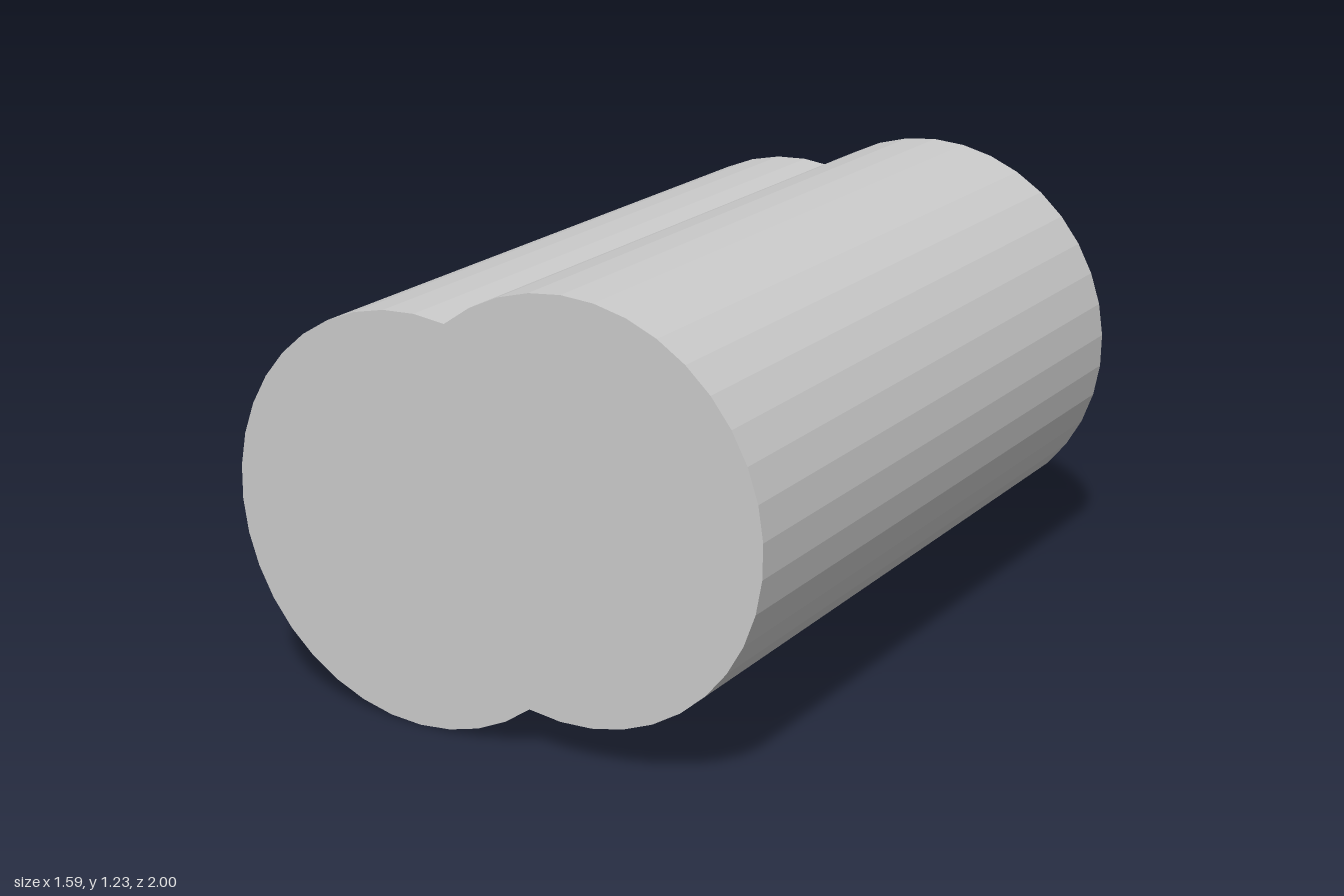
import * as THREE from 'three';

export function createModel() {
  const group = new THREE.Group();
  const radius = 0.559, steps = 24, length = 2, midHeight = 0.616;
  const lobeX = 0.235, lobeY = 0.056; // lobe centre, measured from the middle

  // Outer arc of one lobe, running between the two creases
  const axis = Math.atan2(lobeY, lobeX);
  const half = Math.acos(-Math.hypot(lobeX, lobeY) / radius);
  const arc = [];
  for (let i = 0; i < steps; i++) {
    const a = axis - half + (2 * half * i) / steps;
    arc.push(new THREE.Vector2(lobeX + radius * Math.cos(a), lobeY + radius * Math.sin(a)));
  }

  // The second lobe is the first turned half a circle
  const outline = new THREE.Shape([...arc, ...arc.map((p) => p.clone().negate())]);
  const geometry = new THREE.ExtrudeGeometry(outline, { depth: length, bevelEnabled: false });
  geometry.translate(0, midHeight, -length / 2);

  const body = new THREE.Mesh(
    geometry,
    new THREE.MeshStandardMaterial({ color: 0xcccccc, flatShading: true })
  );
  body.name = 'twinLobeBody';
  group.add(body);
  return group;
}
